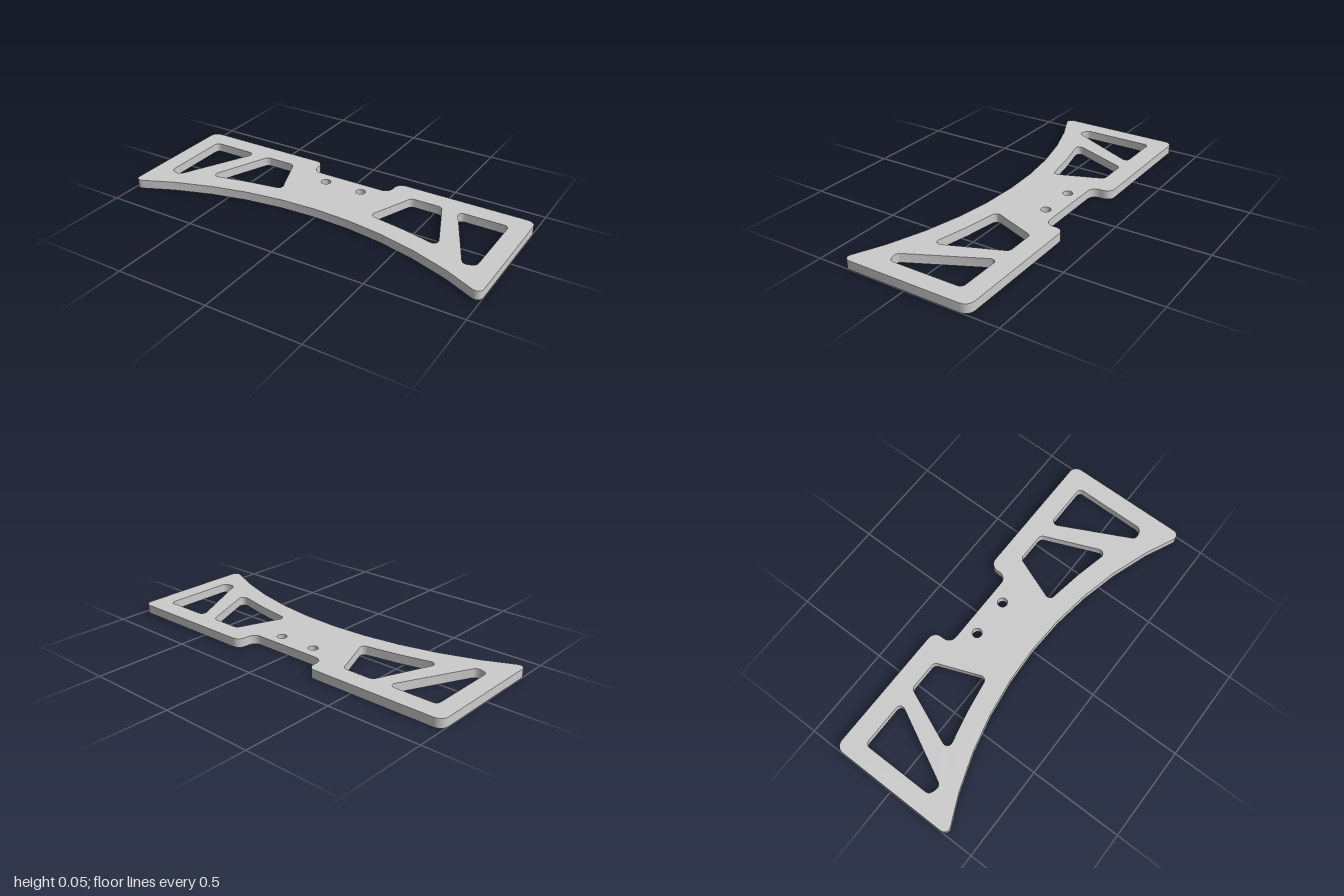
import * as THREE from 'three';
import { toCreasedNormals } from 'three/addons/utils/BufferGeometryUtils.js';

const THICKNESS = 0.048;

// Round each corner [x, z, radius] of a closed outline with an arc
function roundedOutline(corners, steps = 6) {
  const points = [];
  const n = corners.length;
  corners.forEach(([x, z, r], i) => {
    const p = new THREE.Vector2(x, z);
    if (!r) { points.push(p); return; }
    const [ax, az] = corners[(i + n - 1) % n];
    const [bx, bz] = corners[(i + 1) % n];
    const a = new THREE.Vector2(ax, az).sub(p).normalize();
    const b = new THREE.Vector2(bx, bz).sub(p).normalize();
    const half = Math.acos(a.dot(b)) / 2;
    const centre = a.clone().add(b).normalize().multiplyScalar(r / Math.sin(half)).add(p);
    const start = a.multiplyScalar(r / Math.tan(half)).add(p).sub(centre).angle();
    const end = b.multiplyScalar(r / Math.tan(half)).add(p).sub(centre).angle();
    const sweep = Math.atan2(Math.sin(end - start), Math.cos(end - start));
    for (let k = 0; k <= steps; k++) {
      const t = start + sweep * k / steps;
      points.push(new THREE.Vector2(centre.x + r * Math.cos(t), centre.y + r * Math.sin(t)));
    }
  });
  return points;
}

// Concave front edge: shallow arc, nearest the back at x = 0
const frontZ = x => 0.118 + 2.15 - Math.sqrt(2.15 * 2.15 - x * x);

export function createModel() {
  const group = new THREE.Group();
  group.name = 'bracketPlate';

  // Back edge with the central notch
  const outline = [
    [-1, -0.345, 0.045], [-0.235, -0.345, 0.045], [-0.235, -0.236, 0.045],
    [0.235, -0.236, 0.045], [0.235, -0.345, 0.045], [1, -0.345, 0.045],
  ];
  // Curved front edge, rounded at both tips
  for (let i = 0; i <= 10; i++) {
    const x = 1 - i * 0.2;
    outline.push([x, frontZ(x), i % 10 ? 0 : 0.03]);
  }
  const shape = new THREE.Shape(roundedOutline(outline));

  // Mirrored lightening windows and screw holes
  const outerWindow = [
    [0.9, -0.238, 0.025], [0.9, 0.165, 0.03], [0.837, 0.185, 0.03], [0.626, -0.238, 0.025],
  ];
  const innerWindow = [
    [0.54, -0.238, 0.03], [0.682, 0.106, 0.025], [0.47, 0.058, 0],
    [0.265, 0.024, 0.025], [0.367, -0.238, 0.03],
  ];
  for (const side of [-1, 1]) {
    for (const pocket of [outerWindow, innerWindow]) {
      const corners = pocket.map(([x, z, r]) => [side * x, z, r]);
      shape.holes.push(new THREE.Path(roundedOutline(corners)));
    }
    shape.holes.push(new THREE.Path().absarc(side * 0.107, -0.163, 0.026, 0, Math.PI * 2, true));
  }

  // Extrude, then lay flat on the ground
  const geometry = new THREE.ExtrudeGeometry(shape, {
    depth: THICKNESS, bevelEnabled: false, curveSegments: 12,
  });
  geometry.rotateX(Math.PI / 2);
  geometry.translate(0, THICKNESS, 0);

  const plate = new THREE.Mesh(
    toCreasedNormals(geometry, 0.6),
    new THREE.MeshStandardMaterial({ color: 0xcccccc }),
  );
  plate.name = 'plate';
  group.add(plate);
  return group;
}
